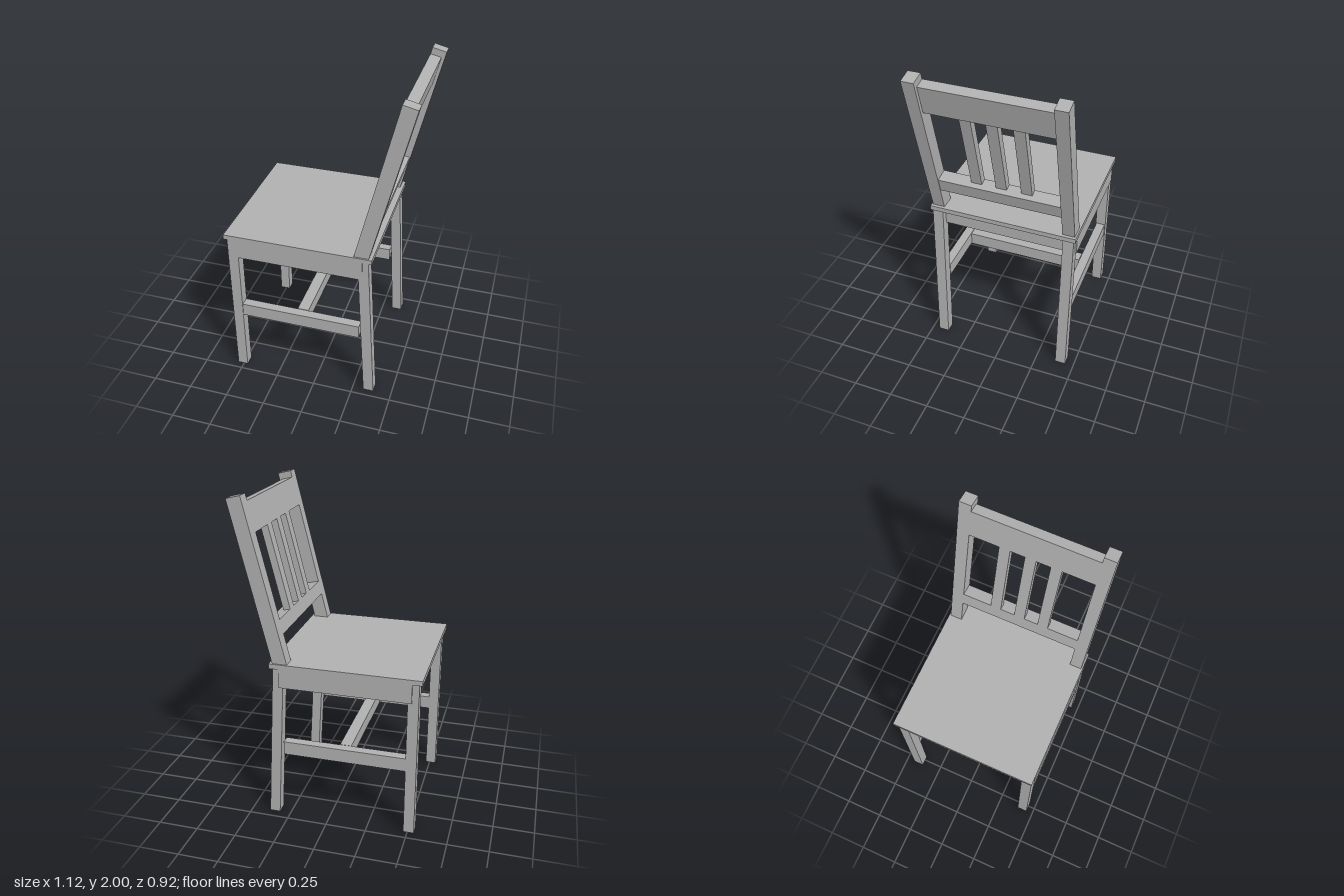
import * as THREE from 'three';

export function createModel() {
  const chair = new THREE.Group();
  chair.name = 'chair';
  const grey = new THREE.MeshStandardMaterial({ color: 0xb0b0b0 });
  grey.name = 'plain grey';

  // Box given by its minimum and maximum on each axis
  function box(name, [x0, x1], [y0, y1], [z0, z1], parent = chair) {
    const geometry = new THREE.BoxGeometry(x1 - x0, y1 - y0, z1 - z0);
    geometry.translate((x0 + x1) / 2, (y0 + y1) / 2, (z0 + z1) / 2);
    const mesh = new THREE.Mesh(geometry, grey);
    mesh.name = name;
    parent.add(mesh);
    return mesh;
  }

  // Seat board and the solid block under it
  box('seat', [-0.56, 0.35], [1.0, 1.03], [-0.46, 0.46]);
  box('seatFrame', [-0.5, 0.295], [0.88, 1.0], [-0.455, 0.46]);

  // Legs and side stretchers, in pairs
  const legSpans = [[0.388, 0.455], [-0.445, -0.378]];
  for (const span of legSpans) {
    box('frontLeg', [-0.54, -0.475], [0, 1.0], span);

    // Rear leg splays backwards towards the floor
    const rearLeg = box('rearLeg', [0.32, 0.385], [0, 1.0], span);
    const p = rearLeg.geometry.attributes.position;
    for (let i = 0; i < p.count; i++) p.setX(i, p.getX(i) - 0.055 * p.getY(i));
    rearLeg.geometry.computeVertexNormals();

    const inset = [span[0] + 0.005, span[1] - 0.005];
    box('sideStretcher', [-0.475, 0.28], [0.425, 0.51], inset);
  }
  box('crossStretcher', [-0.13, -0.06], [0.425, 0.51], [-0.38, 0.39]);

  // Backrest built upright, then leaned back
  const back = new THREE.Group();
  back.name = 'backrest';
  back.position.set(0.24, 1.03, 0);
  back.rotation.z = -Math.atan2(0.235, 0.97);
  chair.add(back);

  for (const span of [[0.375, 0.45], [-0.45, -0.375]]) {
    box('backPost', [0, 0.0875], [-0.04, 0.998], span, back);
  }
  box('topRail', [0, 0.067], [0.778, 0.957], [-0.375, 0.375], back);
  box('lowerRail', [0, 0.082], [0.169, 0.257], [-0.375, 0.375], back);
  for (const z of [-0.16, -0.005, 0.148]) {
    box('slat', [0, 0.045], [0.257, 0.778], [z - 0.033, z + 0.033], back);
  }

  return chair;
}
